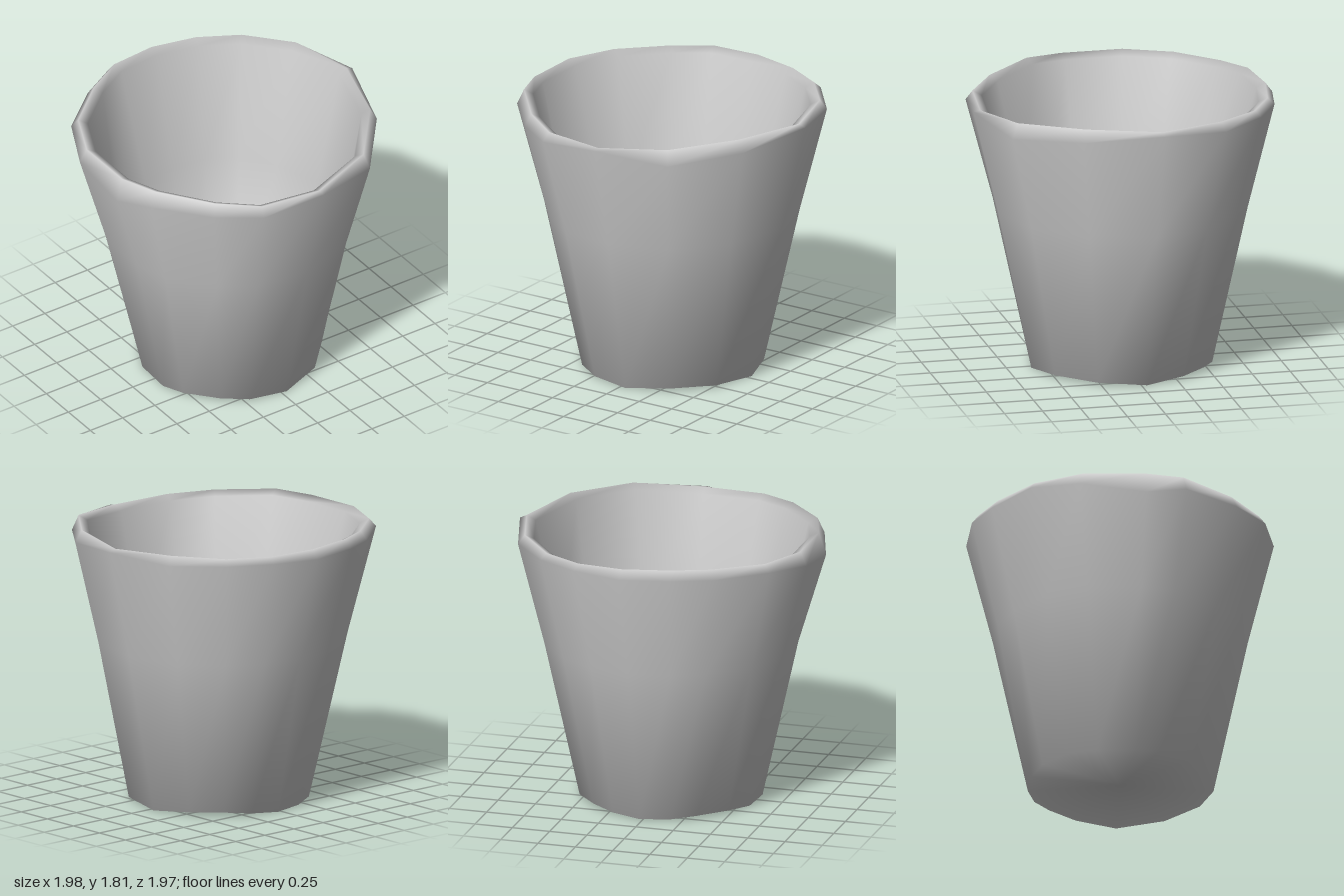
import * as THREE from 'three';

// Rim corners, clockwise seen from above: [x, z, height of outer edge, height of lip]
const rim = [
  [0.04, -0.99, 1.74, 1.80], [0.36, -0.93, 1.75, 1.79], [0.63, -0.78, 1.75, 1.79], [0.87, -0.49, 1.74, 1.80],
  [0.99, -0.06, 1.77, 1.79], [0.84, 0.44, 1.72, 1.80], [0.52, 0.83, 1.68, 1.78], [0.06, 0.98, 1.74, 1.75],
  [-0.37, 0.93, 1.70, 1.76], [-0.63, 0.75, 1.70, 1.78], [-0.90, 0.43, 1.70, 1.80], [-0.99, 0.17, 1.64, 1.79],
  [-0.99, -0.25, 1.70, 1.79], [-0.84, -0.57, 1.74, 1.79], [-0.54, -0.82, 1.74, 1.80], [-0.29, -0.95, 1.75, 1.81],
];

// One ring of points; f gives [radius, y] from the angle, rim radius and rim corner
function ring(f) {
  return rim.map((corner, i) => {
    const a = Math.atan2(corner[1], corner[0]);
    const [r, y] = f(a, Math.hypot(corner[0], corner[1]), corner, i);
    return [Math.cos(a) * r, y, Math.sin(a) * r];
  });
}

// Joins the rings into one smooth closed skin, capped at both ends
function skin(rings, start, end) {
  const n = rim.length;
  const points = [start, ...rings.flat(), end];
  const last = points.length - 1;
  const index = [];
  for (let i = 0; i < n; i++) {
    const j = (i + 1) % n;
    index.push(0, 1 + i, 1 + j);
    for (let k = 0; k < rings.length - 1; k++) {
      const a = 1 + k * n + i, b = 1 + k * n + j;
      index.push(a, a + n, b, b, a + n, b + n);
    }
    const top = 1 + (rings.length - 1) * n;
    index.push(top + i, last, top + j);
  }
  const geometry = new THREE.BufferGeometry();
  geometry.setAttribute('position', new THREE.Float32BufferAttribute(points.flat(), 3));
  geometry.setIndex(index);
  geometry.computeVertexNormals();
  return geometry;
}

export function createModel() {
  const group = new THREE.Group();
  group.name = 'cup';

  const rings = [
    // foot, slightly wavy
    ring((a) => [0.595, 0.015 - 0.015 * Math.cos(4 * a)]),
    // outer wall
    ring((a, r) => [0.6 + (r - 0.6) * 0.56, 1.05]),
    // rounded lip
    ring((a, r, c) => [r, c[2]]),
    ring((a, r, c) => [r * 0.955, c[3]]),
    ring((a, r, c) => [r * 0.895, c[3] - 0.03]),
    // inner wall, a little uneven
    ring((a, r, c, i) => [0.71 + 0.02 * (i % 3 - 1), 1.0]),
    ring((a, r, c, i) => [0.51 + 0.02 * (i % 2), 0.13]),
    // four-cornered dimple in the floor
    ring((a) => [0.16 / (Math.abs(Math.cos(a)) + Math.abs(Math.sin(a))), 0.13]),
  ];
  const body = new THREE.Mesh(
    skin(rings, [0, 0.03, 0], [0, 0.07, -0.04]),
    new THREE.MeshStandardMaterial({ color: 0xcccccc }),
  );
  body.name = 'cupBody';
  group.add(body);
  return group;
}
